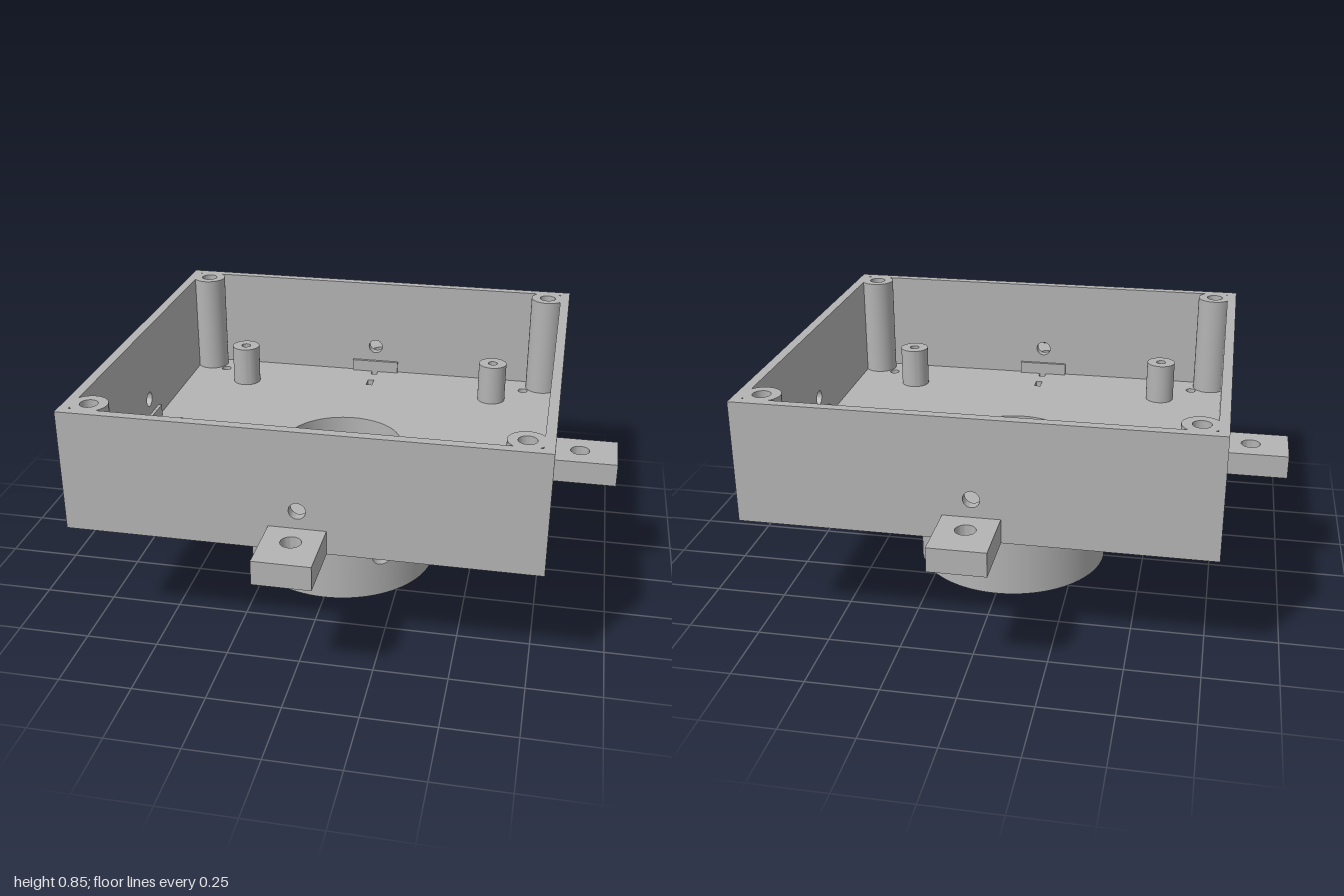
import * as THREE from 'three';
import { toCreasedNormals } from 'three/addons/utils/BufferGeometryUtils.js';

const BASE = 0.425, FLOOR = 0.462, TOP = 0.845;   // box heights
const W = 0.782, D = 0.745, WALL = 0.034;         // half width, half depth, wall thickness
const PIPE_OUT = 0.351, PIPE_IN = 0.302, BORE = 0.218;
const SIDES = [-1, 1];

function rect(x0, y0, x1, y1) {
  return new THREE.Shape([[x0, y0], [x1, y0], [x1, y1], [x0, y1]].map(p => new THREE.Vector2(...p)));
}

function disc(x, y, r, n = 32) {
  const pts = [];
  for (let i = 0; i < n; i++) {
    const a = i / n * Math.PI * 2;
    pts.push(new THREE.Vector2(x + r * Math.cos(a), y + r * Math.sin(a)));
  }
  return new THREE.Shape(pts);
}

// Extrudes an outline with holes; sharp edges, smooth bores
function plate(outline, holes, depth) {
  outline.holes = holes;
  const g = new THREE.ExtrudeGeometry(outline, { depth, bevelEnabled: false });
  return toCreasedNormals(g, 0.6);
}

// Same, lying flat between two heights
function slab(outline, holes, y0, y1) {
  return plate(outline, holes, y1 - y0).rotateX(-Math.PI / 2).translate(0, y0, 0);
}

// Closed band of points: fn(i, v) gives the point at step i around and v across
function band(n, rows, fn) {
  const pos = [], idx = [];
  for (let j = 0; j <= rows; j++)
    for (let i = 0; i < n; i++) pos.push(...fn(i, j / rows));
  for (let j = 0; j < rows; j++)
    for (let i = 0; i < n; i++) {
      const a = j * n + i, b = j * n + (i + 1) % n;
      idx.push(a, b, b + n, a, b + n, a + n);
    }
  const g = new THREE.BufferGeometry();
  g.setAttribute('position', new THREE.Float32BufferAttribute(pos, 3));
  g.setIndex(idx);
  g.computeVertexNormals();
  return g;
}

export function createModel() {
  const model = new THREE.Group();
  model.name = 'mountingBox';
  const grey = new THREE.MeshStandardMaterial({ color: 0xb4b4b4, side: THREE.DoubleSide });
  grey.name = 'grey';
  const add = (name, geometry, parent = model) => {
    const m = new THREE.Mesh(geometry, grey);
    m.name = name;
    parent.add(m);
    return m;
  };

  // Floor with bore, hexagonal nut recesses, drain holes and tie slots
  const holes = [disc(0, 0, BORE, 64)];
  for (const s of SIDES) {
    for (const t of SIDES) {
      holes.push(disc(s * 0.698, t * 0.663, 0.041, 6));
      holes.push(disc(s * 0.627, t * 0.613, 0.019, 20));
      holes.push(rect(s * 0.652 - 0.012, t * 0.062 - 0.026, s * 0.652 + 0.012, t * 0.062 + 0.026));
    }
    holes.push(rect(-0.012, s * 0.578 - 0.025, 0.012, s * 0.578 + 0.025));
    holes.push(rect(-0.012, s * 0.685 - 0.015, 0.012, s * 0.685 + 0.015));
  }
  add('floor', slab(rect(-W, -D, W, D), holes, BASE, FLOOR));

  // Walls, each with a round cable hole
  for (const s of SIDES) {
    const long = plate(rect(-W, FLOOR, W, TOP), [disc(0, 0.57, 0.028)], WALL);
    add(s > 0 ? 'frontWall' : 'backWall', long.translate(0, 0, s > 0 ? D - WALL : -D));
    const e = D - WALL;
    const short = plate(rect(-e, FLOOR, e, TOP), [disc(0, 0.57, 0.028)], WALL);
    add(s > 0 ? 'leftWall' : 'rightWall',
      short.rotateY(Math.PI / 2).translate(s > 0 ? W - WALL : -W, 0, 0));
  }

  // Mounting tabs outside, with their roots showing through the walls
  for (let k = 0; k < 4; k++) {
    const side = new THREE.Group();
    side.name = 'mountingTab';
    side.rotation.y = k * Math.PI / 2;
    const edge = k % 2 ? D : W, end = k % 2 ? 0.965 : 1;
    add('tab', slab(rect(edge, -0.095, end, 0.095), [disc(end - 0.133, 0, 0.034)], BASE, 0.508), side);
    add('tabRoot', slab(rect(edge - 0.046, -0.095, edge - WALL + 0.01, 0.095), [], FLOOR, 0.508), side);
    model.add(side);
  }

  // Corner screw posts and shorter board standoffs
  for (const s of SIDES) for (const t of SIDES) {
    add('cornerPost', slab(disc(s * 0.698, t * 0.663, 0.063, 40),
      [disc(s * 0.698, t * 0.663, 0.03)], FLOOR, TOP));
    add('standoff', slab(disc(s * 0.506, t * 0.506, 0.054, 40),
      [disc(s * 0.506, t * 0.506, 0.018)], FLOOR, 0.615));
  }

  // Pipe socket below, leaving two windows for the cross hole
  const pipe = new THREE.Group();
  pipe.name = 'pipeSocket';
  model.add(pipe);
  const A0 = 0.4, A1 = 1.0;
  for (const r of [PIPE_OUT, PIPE_IN])
    for (const [start, len, seg] of [[A1, Math.PI - 2 * A1, 16], [Math.PI - A0, Math.PI + 2 * A0, 56]])
      add('pipeWall', new THREE.CylinderGeometry(r, r, BASE, seg, 1, true, start, len)
        .translate(0, BASE / 2, 0), pipe);
  add('pipeRim', new THREE.RingGeometry(PIPE_IN, PIPE_OUT, 80).rotateX(Math.PI / 2), pipe);
  add('pipeShoulder', slab(disc(0, 0, PIPE_IN, 64), [disc(0, 0, BORE, 64)], 0.37, BASE), pipe);

  // Wall patches around the straight cross hole, mirrored front to back
  const N = 48, HX = 0.203, HY = 0.16, HR = 0.034;
  const onPipe = (r, a, y) => [r * Math.sin(a), y, r * Math.cos(a)];
  const rim = (r, i) => {
    const a = i / N * Math.PI * 2;
    return [Math.asin((HX + HR * Math.cos(a)) / r), HY + HR * Math.sin(a)];
  };
  const frame = i => {
    const a = i / N * Math.PI * 2, c = Math.cos(a), s = Math.sin(a);
    const m = Math.max(Math.abs(c), Math.abs(s));
    return [(A0 + A1) / 2 + c / m * (A1 - A0) / 2, BASE / 2 + s / m * BASE / 2];
  };
  const patch = r => band(N, 6, (i, v) => {
    const [a, y] = rim(r, i), [b, z] = frame(i);
    return onPipe(r, a + (b - a) * v, y + (z - y) * v);
  });
  const bore = band(N, 1, (i, v) => {
    const r = v ? PIPE_OUT : PIPE_IN;
    return onPipe(r, ...rim(r, i));
  });
  for (const s of SIDES) {
    for (const [name, g] of [['pipeHoleOuter', patch(PIPE_OUT)], ['pipeHoleInner', patch(PIPE_IN)], ['pipeHoleBore', bore]])
      add(name, g, pipe).scale.z = s;
  }
  return model;
}
